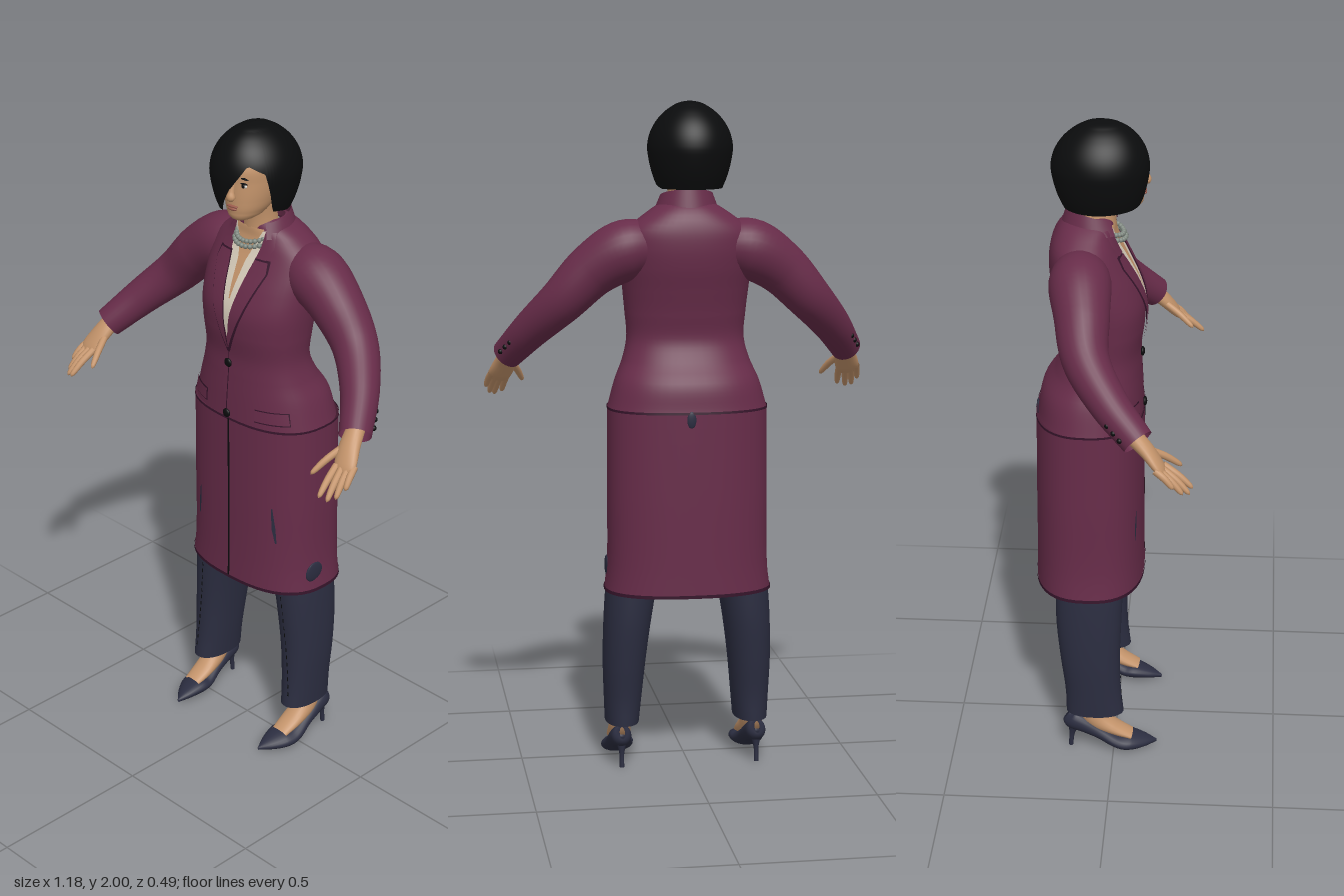
import * as THREE from 'three';
import { ParametricGeometry } from 'three/addons/geometries/ParametricGeometry.js';

const paint = (name, color) => {
  const m = new THREE.MeshStandardMaterial({ color, side: THREE.DoubleSide });
  m.name = name;
  return m;
};
const M = {
  coat: paint('plum coat', 0x672c49),
  seam: paint('dark plum seam', 0x35142a),
  navy: paint('navy cloth', 0x2b2d40),
  skin: paint('skin', 0xc4946b),
  hair: paint('black hair', 0x0b0c0d),
  shirt: paint('cream shirt', 0xd8cdbb),
  beads: paint('grey beads', 0x7f8880),
  lips: paint('lips', 0x9a5a4c),
  white: paint('eye white', 0xe6e2da),
};

// Smooth interpolation through rows; the first value of a keyed row is its position
const smooth = (rows, keyed) => {
  const f = new THREE.CubicInterpolant(rows.map((r, i) => (keyed ? r[0] : i)), rows.flat(), rows[0].length);
  return t => Array.from(f.evaluate(t));
};
const spow = (a, p) => Math.sign(a) * Math.abs(a) ** p;

export function createModel() {
  const root = new THREE.Group();
  root.name = 'woman in long coat';

  function add(name, geo, mat, parent = root) {
    const m = new THREE.Mesh(geo, mat);
    m.name = name;
    parent.add(m);
    return m;
  }
  const surface = (fn, nu, nv) =>
    new ParametricGeometry((u, v, p) => p.set(...fn(u, v)), nu, nv);

  // Upright shell through rows [y, centreX, halfWidth, frontZ, backZ]
  function shell(name, rows, mat, n = 2, nv = 30, parent = root) {
    const at = smooth(rows, true);
    const y0 = rows[0][0], y1 = rows[rows.length - 1][0];
    add(name, surface((u, v) => {
      const [y, cx, rx, f, b] = at(y0 + (y1 - y0) * v);
      const a = u * Math.PI * 2 + Math.PI;
      return [cx + rx * spow(Math.sin(a), 2 / n), y, (f + b) / 2 + (f - b) / 2 * spow(Math.cos(a), 2 / n)];
    }, 48, nv), mat, parent);
    return (x, y) => {
      const [, cx, rx, f, b] = at(y);
      const k = Math.min(1, Math.abs((x - cx) / rx));
      return (f + b) / 2 + (f - b) / 2 * (1 - k ** n) ** (1 / n);
    };
  }

  // Swept limb through rows [x, y, z, radius across, radius deep]
  const REF = new THREE.Vector3(0, 1, 1);
  function limb(name, rows, mat, nv = 24, nu = 20, parent = root) {
    const at = smooth(rows), last = rows.length - 1;
    return add(name, surface((u, v) => {
      const t = v * last, p = at(t), a = u * Math.PI * 2;
      const q0 = at(Math.max(0, t - 0.01)), q1 = at(Math.min(last, t + 0.01));
      const T = new THREE.Vector3(q1[0] - q0[0], q1[1] - q0[1], q1[2] - q0[2]).normalize();
      const N = REF.clone().cross(T).normalize(), B = T.clone().cross(N);
      const P = new THREE.Vector3(p[0], p[1], p[2])
        .addScaledVector(N, p[3] * Math.cos(a)).addScaledVector(B, p[4] * Math.sin(a));
      return [P.x, P.y, P.z];
    }, nu, nv), mat, parent);
  }

  // Thin panel laid on the front of a shell, rows [y, x0, x1] from the bottom up
  function patch(name, front, rows, mat, off = 0.004) {
    const last = rows.length - 1;
    add(name, surface((u, v) => {
      const i = Math.min(last - 1, Math.floor(v * last)), k = v * last - i;
      const [y, a, b] = rows[i].map((s, j) => s + (rows[i + 1][j] - s) * k);
      const x = a + (b - a) * u;
      return [x, y, front(x, y) + off];
    }, 6, 6 * last), mat);
  }
  const sphere = new THREE.SphereGeometry(1, 16, 12);
  function ball(name, pos, size, mat, parent = root) {
    const m = add(name, sphere, mat, parent);
    m.position.set(...pos);
    m.scale.set(...size);
    return m;
  }

  // Coat skirt and jacket body
  const skirt = shell('coatSkirt', [
    [0.548, 0, 0.25, 0.083, -0.247], [0.6, 0, 0.243, 0.081, -0.246], [0.85, 0, 0.24, 0.08, -0.245], [1.1, 0, 0.238, 0.08, -0.243],
  ], M.coat, 2.5, 12);
  const torso = shell('jacketBody', [
    [1.1, 0, 0.238, 0.078, -0.238], [1.18, 0, 0.215, 0.075, -0.222], [1.24, 0, 0.19, 0.072, -0.183],
    [1.3, 0, 0.176, 0.07, -0.158], [1.38, 0, 0.181, 0.08, -0.166], [1.45, 0, 0.188, 0.08, -0.18],
    [1.52, 0, 0.193, 0.058, -0.195], [1.58, 0, 0.194, 0.028, -0.2], [1.63, 0, 0.18, 0.003, -0.195],
    [1.665, 0, 0.138, -0.008, -0.182], [1.7, 0, 0.085, -0.012, -0.155], [1.715, 0, 0.055, -0.02, -0.13],
  ], M.coat, 2.3, 44);
  shell('waistSeam', [[1.096, 0, 0.24, 0.082, -0.245], [1.103, 0, 0.24, 0.081, -0.244]], M.seam, 2.5, 2);
  shell('hemEdge', [[0.545, 0, 0.252, 0.085, -0.249], [0.555, 0, 0.251, 0.085, -0.249]], M.seam, 2.5, 2);
  patch('skirtOpening', skirt, [[0.55, -0.001, 0.006], [1.1, -0.001, 0.006]], M.hair, 0.002);
  patch('jacketOpening', torso, [[1.1, -0.012, -0.008], [1.36, -0.003, 0]], M.seam, 0.002);
  patch('skirtSlit', skirt, [[0.71, -0.148, -0.143], [0.76, -0.147, -0.137], [0.81, -0.14, -0.137]], M.navy, 0.002);
  patch('skirtSlit', skirt, [[0.72, 0.17, 0.174], [0.77, 0.16, 0.171], [0.84, 0.158, 0.162]], M.navy, 0.002);
  ball('sidePatch', [0.24, 0.61, -0.05], [0.006, 0.032, 0.036], M.navy);
  ball('backPatch', [0.01, 1.08, -0.242], [0.014, 0.025, 0.005], M.navy);
  for (const y of [1.28, 1.115]) ball('button', [-0.006, y, torso(0, y) + 0.004], [0.014, 0.014, 0.007], M.hair);

  // Shirt and bare throat in the neckline
  patch('shirt', torso, [[1.37, -0.003, 0.003], [1.5, -0.03, 0.03], [1.62, -0.055, 0.055], [1.69, -0.06, 0.06]], M.shirt, 0.003);
  patch('throat', torso, [[1.49, -0.002, 0.002], [1.6, -0.015, 0.015], [1.66, -0.036, 0.036], [1.695, -0.055, 0.055]], M.skin, 0.005);

  // Collar standing round the back of the neck
  add('collar', surface((u, v) => {
    const a = (48 + 264 * u) * Math.PI / 180, back = (1 - Math.cos(a)) / 2;
    const r = 0.1 - 0.022 * v;
    return [r * Math.sin(a), 1.672 + v * (0.035 + 0.04 * back), -0.07 + r * Math.cos(a) * 0.98];
  }, 32, 6), M.coat);

  // Neck and double string of beads
  shell('neck', [[1.62, 0, 0.066, 0.0, -0.12], [1.68, 0, 0.054, -0.005, -0.11], [1.73, 0.003, 0.049, -0.003, -0.1], [1.79, 0.005, 0.052, 0.01, -0.1]], M.skin, 2, 10);
  for (const [k, y] of [[1, 1.678], [1.1, 1.664]]) {
    for (let i = 0; i < 30; i++) {
      const a = i / 30 * Math.PI * 2, c = Math.cos(a);
      ball('bead', [0.062 * k * Math.sin(a), y - 0.022 * c, -0.043 + 0.06 * k * c], [0.0075, 0.0075, 0.0075], M.beads);
    }
  }

  for (const s of [1, -1]) {
    // Lapels and pocket flaps
    const side = rows => rows.map(([y, a, b]) => (s > 0 ? [y, a, b] : [y, -b, -a]));
    patch('lapelEdge', torso, side([[1.32, -0.002, 0.005], [1.45, 0.013, 0.058], [1.58, 0.04, 0.104], [1.615, 0.048, 0.1]]), M.seam, 0.005);
    patch('lapel', torso, side([[1.335, 0, 0.003], [1.45, 0.014, 0.053], [1.58, 0.041, 0.1], [1.61, 0.05, 0.094]]), M.coat, 0.008);
    patch('upperLapel', torso, side([[1.615, 0.05, 0.086], [1.65, 0.058, 0.1], [1.69, 0.062, 0.088]]), M.coat, 0.008);
    patch('pocketEdge', torso, side([[1.118, 0.1, 0.2], [1.16, 0.1, 0.192]]), M.seam, 0.003);
    patch('pocketFlap', torso, side([[1.123, 0.102, 0.199], [1.158, 0.102, 0.191]]), M.coat, 0.006);

    // Sleeve with cuff buttons
    limb('sleeve', [
      [s * 0.1, 1.575, -0.1, 0.07, 0.07], [s * 0.185, 1.567, -0.097, 0.09, 0.09], [s * 0.28, 1.51, -0.085, 0.08, 0.08],
      [s * 0.37, 1.418, -0.068, 0.068, 0.068], [s * 0.455, 1.328, 0.0, 0.057, 0.057], [s * 0.522, 1.242, 0.088, 0.047, 0.047],
    ], M.coat, 32, 28);
    for (let i = 0; i < 3; i++) ball('cuffButton', [s * (0.52 + 0.013 * i), 1.288 - 0.016 * i, 0.002 + 0.018 * i], [0.008, 0.008, 0.008], M.hair);

    // Hand
    limb('palm', [
      [s * 0.512, 1.255, 0.075, 0.028, 0.026], [s * 0.525, 1.215, 0.115, 0.034, 0.021],
      [s * 0.541, 1.175, 0.148, 0.036, 0.015], [s * 0.547, 1.155, 0.163, 0.026, 0.008],
    ], M.skin, 14);
    const fingers = [
      ['thumb', 0.505, 1.21, 0.12, 0.467, 1.143, 0.21], ['indexFinger', 0.518, 1.172, 0.158, 0.53, 1.105, 0.243],
      ['middleFinger', 0.537, 1.168, 0.158, 0.554, 1.098, 0.235], ['ringFinger', 0.554, 1.17, 0.15, 0.57, 1.105, 0.216],
      ['littleFinger', 0.567, 1.177, 0.138, 0.582, 1.128, 0.19],
    ];
    for (const [name, x, y, z, X, Y, Z] of fingers) {
      limb(name, [[0, 0.011], [0.5, 0.0105], [0.9, 0.0075], [1, 0.001]].map(([t, r]) =>
        [s * (x + (X - x) * t), y + (Y - y) * t + 0.02 * t * (1 - t), z + (Z - z) * t, r, r]), M.skin, 10, 10);
    }

    // Trouser leg with stitched crease
    const leg = shell('trouserLeg', [
      [0.13, s * 0.198, 0.051, 0.03, -0.148], [0.2, s * 0.196, 0.056, 0.022, -0.15], [0.32, s * 0.192, 0.064, 0.018, -0.165],
      [0.45, s * 0.182, 0.071, 0.022, -0.178], [0.56, s * 0.168, 0.077, 0.026, -0.18], [0.75, s * 0.125, 0.09, 0.03, -0.18],
    ], M.navy, 2.2, 20);
    for (let i = 0; i < 14; i++) {
      const y = 0.17 + i * 0.026, x = s * (0.207 - (y - 0.17) * 0.1);
      patch('creaseStitch', leg, [[y, x - 0.002, x + 0.002], [y + 0.014, x - 0.002, x + 0.002]], M.hair, 0.002);
    }

    // Foot, pointed shoe and thin heel
    limb('foot', [
      [s * 0.2, 0.045, 0.055, 0.03, 0.012], [s * 0.201, 0.07, 0.0, 0.036, 0.022], [s * 0.204, 0.105, -0.055, 0.034, 0.036],
      [s * 0.203, 0.16, -0.08, 0.033, 0.038], [s * 0.2, 0.25, -0.075, 0.036, 0.042],
    ], M.skin, 20);
    limb('shoe', [
      [s * 0.207, 0.112, -0.147, 0.008, 0.018], [s * 0.207, 0.1, -0.13, 0.028, 0.033], [s * 0.207, 0.084, -0.09, 0.034, 0.03],
      [s * 0.206, 0.058, -0.04, 0.038, 0.024], [s * 0.204, 0.031, 0.01, 0.048, 0.024], [s * 0.199, 0.025, 0.05, 0.048, 0.024],
      [s * 0.191, 0.018, 0.095, 0.029, 0.016], [s * 0.184, 0.011, 0.133, 0.003, 0.005],
    ], M.navy, 36, 24);
    limb('heel', [
      [s * 0.207, 0.0, -0.135, 0.007, 0.007], [s * 0.207, 0.045, -0.131, 0.008, 0.009], [s * 0.207, 0.095, -0.122, 0.022, 0.024],
    ], M.navy, 10, 12);
  }

  // Head and face, turned slightly to its left
  const head = new THREE.Group();
  head.name = 'head';
  head.position.x = 0.008;
  head.rotation.y = 0.12;
  root.add(head);
  const face = shell('face', [
    [1.732, 0, 0.012, 0.052, 0.015], [1.742, 0, 0.036, 0.068, -0.03], [1.765, 0, 0.055, 0.075, -0.07], [1.8, 0, 0.067, 0.077, -0.1],
    [1.85, 0, 0.074, 0.076, -0.12], [1.9, 0, 0.073, 0.073, -0.12], [1.95, 0, 0.05, 0.04, -0.1], [1.97, 0, 0.004, -0.02, -0.03],
  ], M.skin, 2.1, 28, head);
  limb('nose', [[0, 1.856, 0.074, 0.007, 0.006], [0, 1.83, 0.08, 0.009, 0.009], [0, 1.811, 0.084, 0.014, 0.012], [0, 1.802, 0.078, 0.004, 0.004]], M.skin, 12, 12, head);
  ball('upperLip', [0, 1.784, face(0, 1.784)], [0.02, 0.004, 0.006], M.lips, head);
  ball('lowerLip', [0, 1.776, face(0, 1.776)], [0.016, 0.005, 0.007], M.lips, head);
  for (const s of [1, -1]) {
    const x = s * 0.033, z = face(x, 1.85);
    ball('eye', [x, 1.85, z], [0.013, 0.006, 0.003], M.white, head);
    ball('iris', [x, 1.85, z + 0.002], [0.006, 0.006, 0.003], M.hair, head);
    ball('upperLash', [x, 1.857, z + 0.001], [0.016, 0.0025, 0.004], M.hair, head);
    ball('eyebrow', [x, 1.872, z], [0.018, 0.003, 0.004], M.hair, head).rotation.z = -s * 0.1;
    ball('ear', [s * 0.075, 1.835, -0.03], [0.008, 0.028, 0.016], M.skin, head);
  }

  // Bobbed hair with a slanted fringe; its lower edge varies with the angle
  const edge = [[-180, 1.745], [-90, 1.745], [-35, 1.75], [-10, 1.755], [12, 1.83], [38, 1.91], [60, 1.885], [74, 1.76], [110, 1.745], [180, 1.745]];
  const width = smooth([[1.74, 0.74], [1.78, 0.87], [1.83, 0.97], [1.87, 1], [1.92, 0.89], [1.96, 0.66], [1.985, 0.4], [1.996, 0.2], [2, 0.01]], true);
  const lowest = d => {
    const i = Math.max(1, edge.findIndex(e => e[0] >= d));
    const [a, ya] = edge[i - 1], [b, yb] = edge[i];
    return ya + (yb - ya) * (d - a) / (b - a);
  };
  add('hair', surface((u, v) => {
    const d = Math.min(180, -180 + 360 * u), a = d * Math.PI / 180, y0 = lowest(d);
    const y = y0 + (2 - y0) * Math.sin(v * Math.PI / 2), r = width(y)[1];
    return [-0.014 + 0.126 * r * Math.sin(a), y, -0.05 + 0.142 * Math.max(r, Math.cos(a) > 0 ? r ** 0.8 : r) * Math.cos(a)];
  }, 90, 30), M.hair);

  return root;
}
